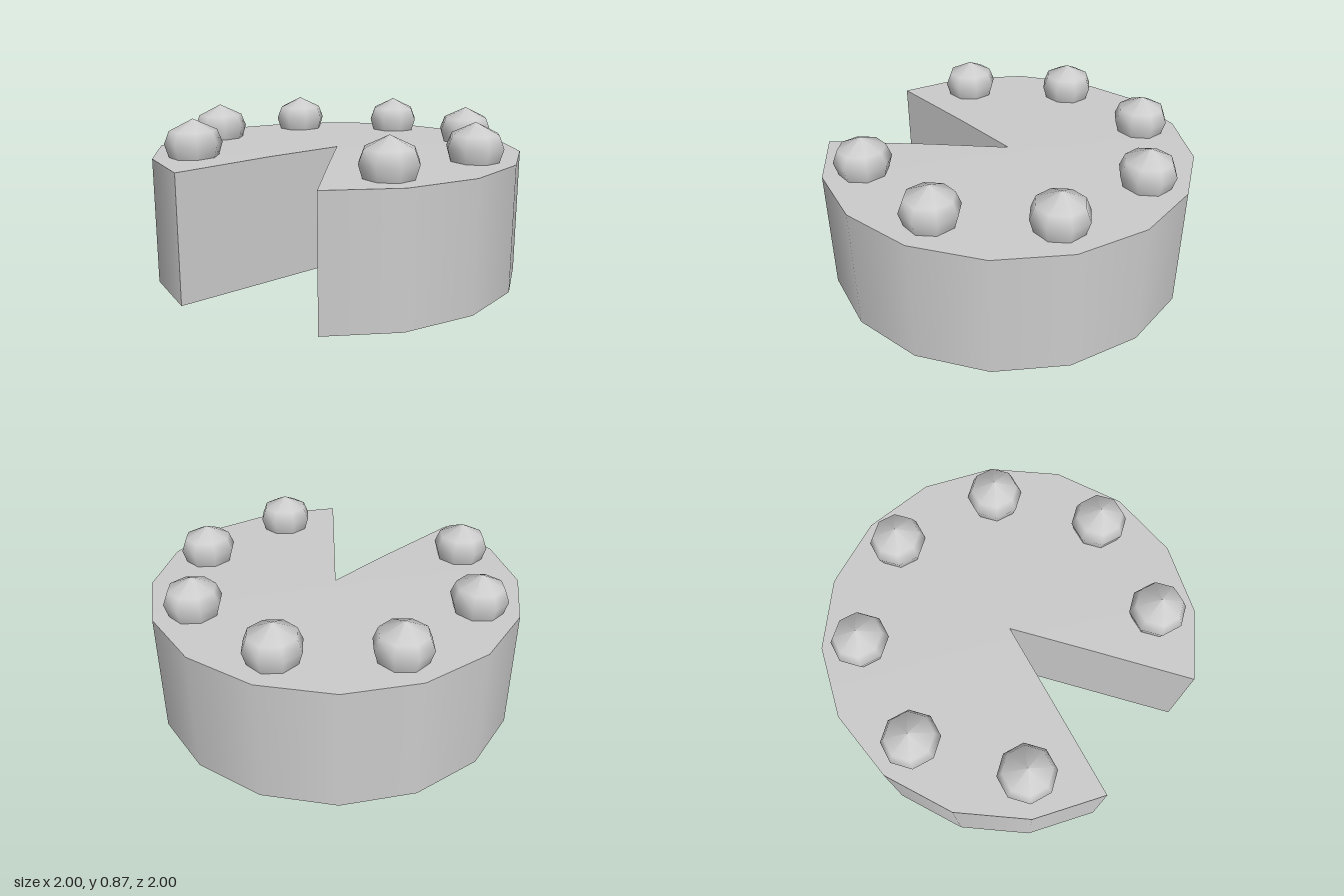
import * as THREE from 'three';

const HEIGHT = 0.67, CROWN = 0.68;
const START = Math.PI / 4, SWEEP = Math.PI * 7 / 4, SIDES = 14;
const points = (list) => list.map(([x, y]) => new THREE.Vector2(x, y));

export function createModel() {
  const cake = new THREE.Group();
  cake.name = 'cutCake';
  const icing = new THREE.MeshStandardMaterial({ color: 0xcccccc });
  icing.name = 'plain grey';

  const add = (name, geometry) => {
    const mesh = new THREE.Mesh(geometry, icing);
    mesh.name = name;
    cake.add(mesh);
    return mesh;
  };

  // Smooth outer wall, open at the missing slice
  add('cakeWall', new THREE.CylinderGeometry(1, 1, HEIGHT, SIDES, 1, true, START, SWEEP)
    .translate(0, HEIGHT / 2, 0));

  // Very slightly raised top
  add('cakeTop', new THREE.LatheGeometry(
    points([[1, HEIGHT], [0.45, CROWN], [0, CROWN]]), SIDES, START, SWEEP));

  // Flat underside
  add('cakeBase', new THREE.CircleGeometry(1, SIDES, Math.PI / 2, SWEEP).rotateX(Math.PI / 2));

  // Two upright faces where the slice was taken out
  const cutFace = (side) => new THREE.ShapeGeometry(new THREE.Shape(
    points([[0, 0], [side, 0], [side, HEIGHT], [side * 0.45, CROWN], [0, CROWN]])));
  add('rightCutFace', cutFace(-1).rotateY(Math.PI / 2));
  add('leftCutFace', cutFace(1).rotateY(-Math.PI / 4));

  // Eight-sided balls around the rim, skipping the missing slice
  const ball = new THREE.LatheGeometry(
    points([[0.128, 0.665], [0.1515, 0.742], [0.125, 0.81], [0, 0.87]]), 8)
    .rotateY(Math.PI / 8);
  for (let i = 1; i < 8; i++) {
    const angle = Math.PI / 8 + i * Math.PI / 4;
    add('toppingBall', ball).position.set(0.785 * Math.sin(angle), 0, 0.785 * Math.cos(angle));
  }
  return cake;
}
